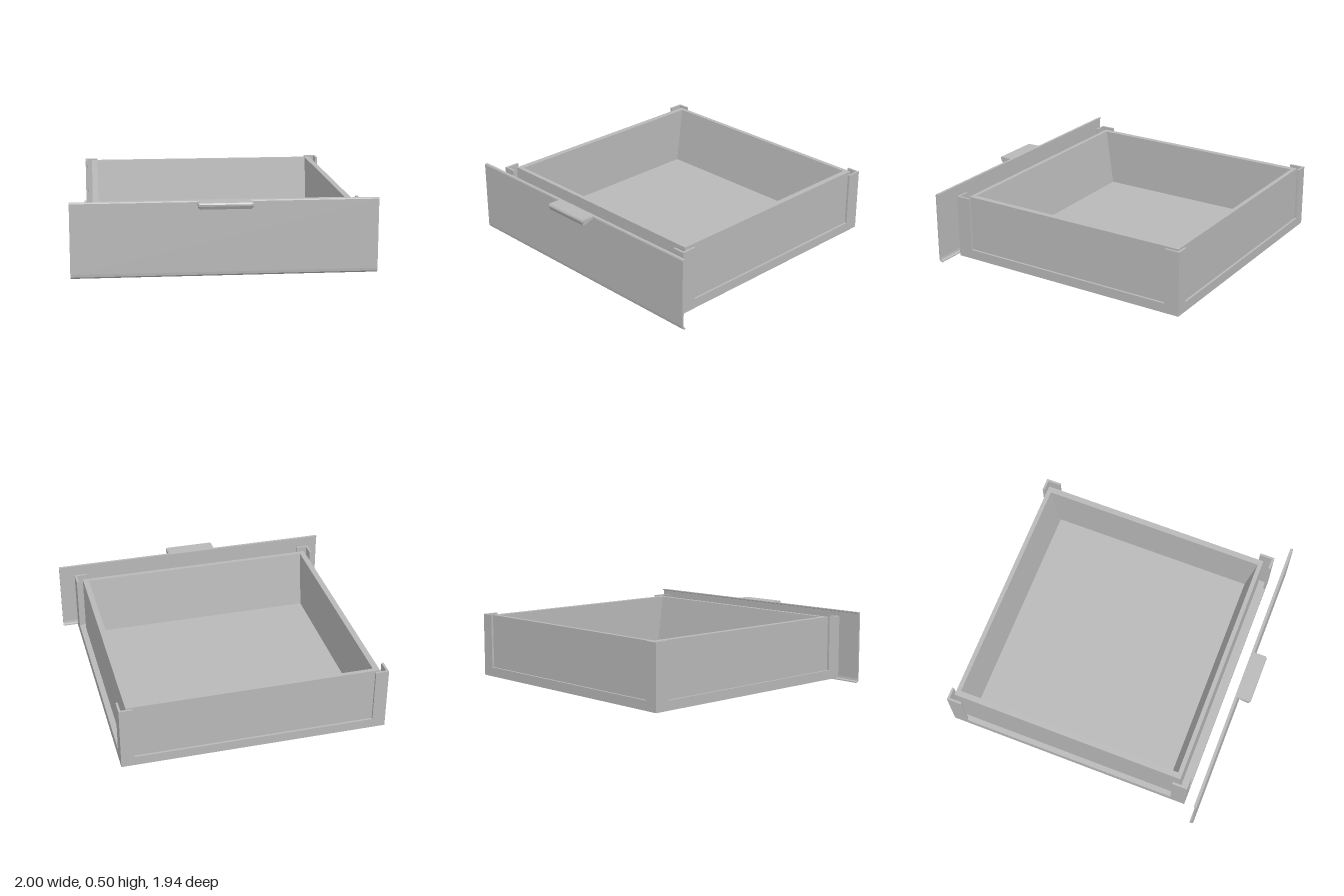
import * as THREE from 'three';

const grey = new THREE.MeshStandardMaterial({ color: 0xb8b8b8 });
grey.name = 'plain grey';

function add(parent, name, geometry) {
  const mesh = new THREE.Mesh(geometry, grey);
  mesh.name = name;
  parent.add(mesh);
  return mesh;
}

// Box given by its limits on each axis
function block(parent, name, x0, x1, y0, y1, z0, z1) {
  const g = new THREE.BoxGeometry(x1 - x0, y1 - y0, z1 - z0);
  g.translate((x0 + x1) / 2, (y0 + y1) / 2, (z0 + z1) / 2);
  return add(parent, name, g);
}

// Side profile of [z, y] points swept across x
function sweep(parent, name, points, x0, x1) {
  const shape = new THREE.Shape(points.map(([z, y]) => new THREE.Vector2(z, y)));
  const g = new THREE.ExtrudeGeometry(shape, { depth: x1 - x0, bevelEnabled: false });
  g.rotateY(-Math.PI / 2);
  g.translate(x1, 0, 0);
  return add(parent, name, g);
}

function group(parent, name) {
  const g = new THREE.Group();
  g.name = name;
  parent.add(g);
  return g;
}

export function createModel() {
  const model = new THREE.Group();
  model.name = 'drawer';

  const X = 0.9, BACK = -0.97, FRONT = 0.775, BASE = 0.035, TOP = 0.473;
  const T = 0.015, POST = 0.105, RAIL = 0.1;

  // Outer frame: base ring, low rails and thin L-shaped corner posts
  const frame = group(model, 'outerFrame');
  const ring = new THREE.Shape([
    new THREE.Vector2(-X, -FRONT), new THREE.Vector2(X, -FRONT),
    new THREE.Vector2(X, -BACK), new THREE.Vector2(-X, -BACK)]);
  const i = 0.1;
  ring.holes.push(new THREE.Path([
    new THREE.Vector2(-X + i, -FRONT + i), new THREE.Vector2(-X + i, -BACK - i),
    new THREE.Vector2(X - i, -BACK - i), new THREE.Vector2(X - i, -FRONT + i)]));
  const base = new THREE.ExtrudeGeometry(ring, { depth: 0.012, bevelEnabled: false });
  base.rotateX(-Math.PI / 2);
  base.translate(0, BASE, 0);
  add(frame, 'baseRing', base);

  for (const s of [-1, 1]) {
    const a = s > 0 ? X - T : -X, b = a + T;
    block(frame, 'sideRail', a, b, BASE + 0.001, RAIL, BACK, FRONT);
    const z0 = s > 0 ? FRONT - T : BACK, z1 = z0 + T;
    block(frame, 'endRail', -X + T, X - T, BASE + 0.001, RAIL, z0, z1);
    for (const [end, zs, ze] of [['front', FRONT - POST, FRONT], ['back', BACK, BACK + POST]]) {
      block(frame, end + 'PostSide', a, b, RAIL, TOP, zs, ze);
      const zf = end === 'front' ? FRONT - T : BACK;
      const x0 = s > 0 ? X - 0.09 : -X + T;
      block(frame, end + 'PostFace', x0, x0 + 0.09 - T, RAIL, TOP, zf, zf + T);
    }
  }

  // Inner tray: straight sides, front and back walls thicker towards the floor
  const tray = group(model, 'innerTray');
  const RIM = 0.468, LOW = 0.04, FLOOR = 0.06;
  block(tray, 'floor', -0.81, 0.81, LOW, FLOOR, -0.9, 0.68);
  for (const s of [-1, 1]) {
    const x0 = s > 0 ? 0.81 : -0.85;
    block(tray, 'sideWall', x0, x0 + 0.04, LOW, RIM, -0.935, 0.71);
  }
  sweep(tray, 'backWall', [[-0.935, LOW], [-0.85, LOW], [-0.85, FLOOR], [-0.905, RIM], [-0.935, RIM]], -0.81, 0.81);
  sweep(tray, 'frontWall', [[0.62, LOW], [0.71, LOW], [0.71, RIM], [0.68, RIM], [0.62, FLOOR]], -0.81, 0.81);

  // Front panel: thin sheet with its lower and upper edges turned back
  sweep(model, 'frontPanel', [
    [0.852, 0], [0.868, 0.002], [0.877, 0.012], [0.879, 0.03], [0.879, 0.492], [0.876, 0.5],
    [0.858, 0.5], [0.858, 0.493], [0.868, 0.489], [0.869, 0.03], [0.866, 0.014], [0.852, 0.007]], -1, 1);

  // Handle: top plate curling down into a grip, closed by two end cheeks
  const handle = group(model, 'handle');
  const L = -0.175, R = 0.16;
  sweep(handle, 'grip', [
    [0.875, 0.487], [0.94, 0.487], [0.95, 0.48], [0.948, 0.465], [0.95, 0.457],
    [0.957, 0.458], [0.968, 0.478], [0.97, 0.49], [0.964, 0.5], [0.875, 0.5]], L, R);
  for (const x of [L - 0.008, R]) {
    sweep(handle, 'endCheek', [
      [0.875, 0.482], [0.9, 0.478], [0.925, 0.468], [0.95, 0.464],
      [0.962, 0.478], [0.962, 0.492], [0.956, 0.498], [0.875, 0.498]], x, x + 0.008);
  }

  return model;
}
